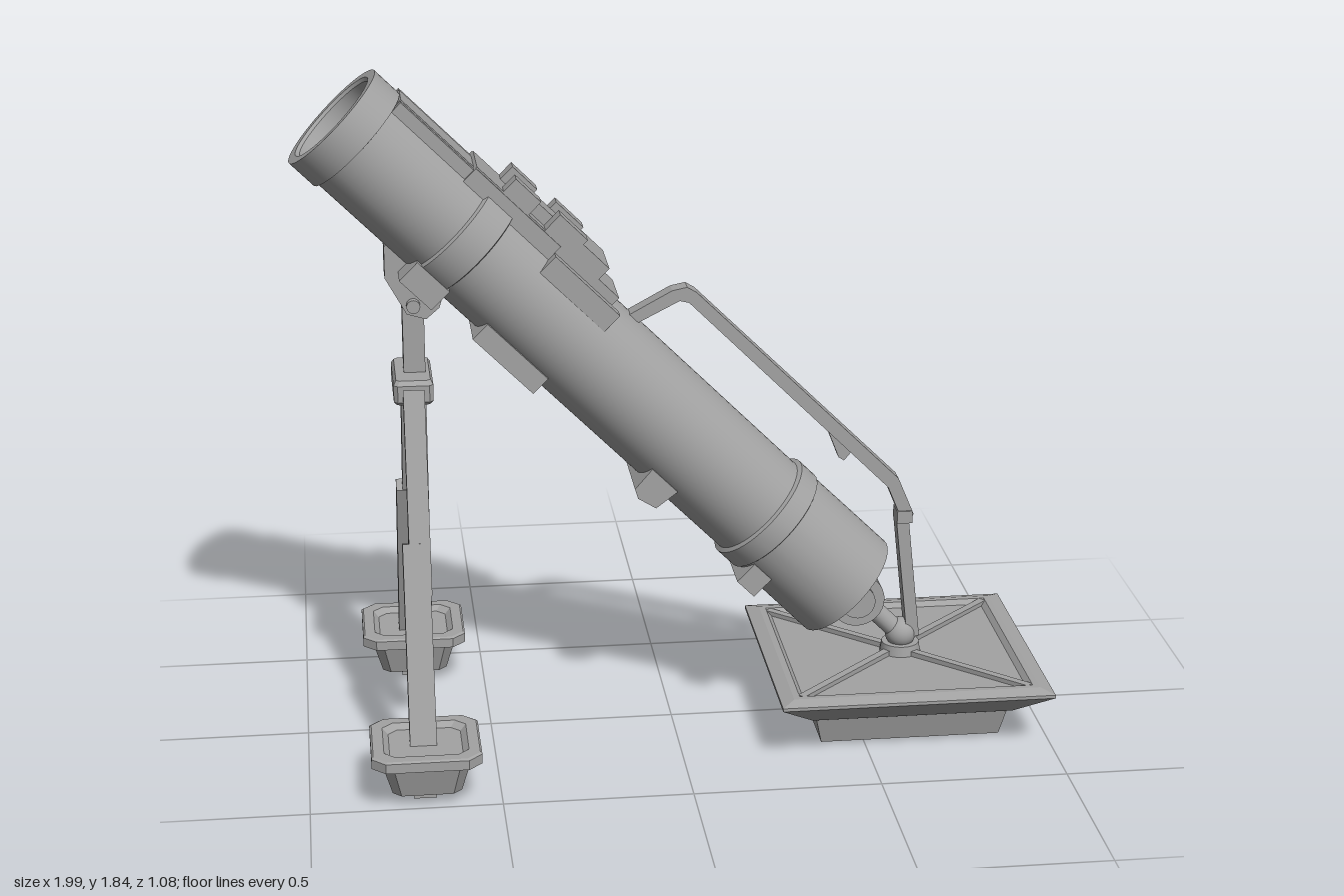
import * as THREE from 'three';
import { toCreasedNormals } from 'three/addons/utils/BufferGeometryUtils.js';

const steel = new THREE.MeshStandardMaterial({ color: 0xa3a3a3 });
steel.name = 'grey steel';

function add(parent, name, geo, x = 0, y = 0, z = 0) {
  const m = new THREE.Mesh(geo, steel);
  m.name = name;
  m.position.set(x, y, z);
  parent.add(m);
  return m;
}

// Box given by its limits
function block(parent, name, [x0, x1], [y0, y1], [z0, z1]) {
  return add(parent, name, new THREE.BoxGeometry(x1 - x0, y1 - y0, z1 - z0),
    (x0 + x1) / 2, (y0 + y1) / 2, (z0 + z1) / 2);
}

// Side outline in x/y, given a thickness centred on z
function slab(parent, name, pts, depth, z = 0) {
  const shape = new THREE.Shape(pts.map(p => new THREE.Vector2(...p)));
  const geo = new THREE.ExtrudeGeometry(shape, { depth, bevelEnabled: false });
  return add(parent, name, geo.translate(0, 0, -depth / 2), 0, 0, z);
}

// Square bar between two points
function bar(parent, name, a, b, w, t) {
  const from = new THREE.Vector3(...a), to = new THREE.Vector3(...b);
  const m = add(parent, name, new THREE.BoxGeometry(w, t, from.distanceTo(to)));
  m.position.addVectors(from, to).multiplyScalar(0.5);
  m.lookAt(to);
  return m;
}

// Stack of chamfered rectangles [y, halfX, halfZ], capped at both ends
function loft(sections, chamfer) {
  const rings = sections.map(([y, hx, hz]) => {
    const c = chamfer * hx;
    return (chamfer
      ? [[hx, c - hz], [hx, hz - c], [hx - c, hz], [c - hx, hz], [-hx, hz - c], [-hx, c - hz], [c - hx, -hz], [hx - c, -hz]]
      : [[hx, -hz], [hx, hz], [-hx, hz], [-hx, -hz]]
    ).reverse().map(([x, z]) => [x, y, z]);
  });
  const n = rings[0].length, pos = [];
  const tri = (...p) => p.forEach(q => pos.push(...q));
  for (let j = 0; j + 1 < rings.length; j++) {
    for (let i = 0; i < n; i++) {
      const k = (i + 1) % n, lo = rings[j], hi = rings[j + 1];
      tri(lo[i], lo[k], hi[k]);
      tri(lo[i], hi[k], hi[i]);
    }
  }
  const top = rings[rings.length - 1], bottom = rings[0];
  for (let i = 1; i + 1 < n; i++) {
    tri(top[0], top[i], top[i + 1]);
    tri(bottom[0], bottom[i + 1], bottom[i]);
  }
  const g = new THREE.BufferGeometry();
  g.setAttribute('position', new THREE.Float32BufferAttribute(pos, 3));
  g.computeVertexNormals();
  return g;
}

// Barrel group: local x runs from muzzle to breech, local y points up off the barrel
function buildBarrel() {
  const g = new THREE.Group();
  g.name = 'barrel';
  g.position.set(-0.877, 1.725, 0);
  g.rotation.z = -Math.PI / 4;

  const profile = [[0, 1.5], [0.128, 1.5], [0.128, 0.008], [0.136, 0], [0.162, 0], [0.162, 0.086], [0.152, 0.088],
    [0.152, 0.415], [0.165, 0.42], [0.165, 0.505], [0.152, 0.51], [0.152, 1.572], [0.165, 1.577],
    [0.165, 1.637], [0.16, 1.64], [0.162, 1.92], [0, 1.92]];
  const tube = new THREE.LatheGeometry(profile.map(p => new THREE.Vector2(...p)), 48);
  add(g, 'tube', toCreasedNormals(tube.rotateZ(-Math.PI / 2), 0.5));

  // Top rail with a groove along each side
  block(g, 'rail', [0.088, 0.66], [0.11, 0.162], [-0.055, 0.055]);
  for (const s of [-1, 1]) {
    const side = (a, b) => (s > 0 ? [a, b] : [-b, -a]);
    block(g, 'railEdge', [0.088, 0.66], [0.1, 0.16], side(0.064, 0.084));
    block(g, 'sightArmFront', [0.44, 0.53], [0.15, 0.218], side(0.04, 0.088));
    block(g, 'sightArmRear', [0.59, 0.69], [0.15, 0.228], side(0.04, 0.088));
    block(g, 'sideBracket', [0.65, 0.885], [0.085, 0.145], side(0.084, 0.125));
    block(g, 'saddleEdge', [0.345, 0.65], [0.1, 0.168], side(0.07, 0.092));
  }
  // Sight blocks
  block(g, 'saddlePlate', [0.345, 0.86], [0.13, 0.172], [-0.085, 0.085]);
  block(g, 'sightBody', [0.46, 0.72], [0.15, 0.205], [-0.042, 0.042]);
  block(g, 'sightRear', [0.69, 0.785], [0.15, 0.212], [-0.088, 0.088]);
  // Fittings under the tube
  block(g, 'lowerPlate', [0.65, 0.87], [-0.164, -0.108], [-0.118, 0.118]);
  block(g, 'clampPlate', [0.4, 0.515], [-0.178, -0.11], [-0.125, 0.125]);
  slab(g, 'lowerHook', [[1.25, -0.1], [1.255, -0.172], [1.28, -0.185], [1.335, -0.172], [1.345, -0.1]], 0.24);
  block(g, 'breechPlate', [1.645, 1.71], [-0.172, -0.105], [-0.125, 0.125]);
  return g;
}

// Ball joint between breech and base plate
function buildJoint() {
  const g = new THREE.Group();
  g.name = 'breechJoint';
  const drum = (name, r, w) => add(g, name, new THREE.CylinderGeometry(r, r, w, 32).rotateX(Math.PI / 2), 0.507, 0.342);
  drum('lugDrum', 0.075, 0.12);
  drum('lugPin', 0.047, 0.15);
  const rod = add(g, 'jointRod', new THREE.CylinderGeometry(0.027, 0.027, 0.2, 20), 0.577, 0.275);
  rod.rotation.z = Math.PI / 4;
  add(g, 'ball', new THREE.SphereGeometry(0.043, 24, 16), 0.64, 0.217);
  add(g, 'ballSeat', new THREE.CylinderGeometry(0.052, 0.058, 0.04, 24), 0.64, 0.172);
  return g;
}

function buildBasePlate() {
  const g = new THREE.Group();
  g.name = 'basePlate';
  const cx = 0.627;
  add(g, 'plate', loft([[0.005, 0.245, 0.235], [0.08, 0.262, 0.255], [0.085, 0.275, 0.268], [0.157, 0.37, 0.36],
    [0.166, 0.37, 0.36], [0.176, 0.335, 0.325], [0.176, 0.318, 0.308], [0.163, 0.305, 0.295]], 0), cx);
  // Diagonal ribs
  for (const sx of [-1, 1]) for (const sz of [-1, 1]) {
    bar(g, 'rib', [cx + 0.03 * sx, 0.168, 0.03 * sz], [cx + 0.312 * sx, 0.166, 0.302 * sz], 0.022, 0.018);
  }
  return g;
}

// Carrying handle along the top of the barrel down to the ball joint
function buildHandle() {
  const g = new THREE.Group();
  g.name = 'handle';
  slab(g, 'handleBar', [[-0.12, 1.17], [0, 1.235], [0.04, 1.243], [0.065, 1.228], [0.62, 0.68], [0.664, 0.575],
    [0.652, 0.552], [0.688, 0.215], [0.655, 0.205], [0.618, 0.55], [0.625, 0.575], [0.592, 0.655],
    [0.045, 1.2], [0.02, 1.206], [-0.11, 1.14]], 0.05);
  slab(g, 'handleCatch', [[0.42, 0.835], [0.455, 0.745], [0.47, 0.735], [0.495, 0.765]], 0.03);
  block(g, 'handleJoint', [0.618, 0.66], [0.55, 0.585], [-0.03, 0.03]);
  return g;
}

function buildBipod() {
  const g = new THREE.Group();
  g.name = 'bipod';
  const x = -0.695;
  // Head bracket and pivot
  slab(g, 'headBracket', [[-0.755, 1.385], [-0.74, 1.4], [-0.6, 1.26], [-0.615, 1.215], [-0.65, 1.185],
    [-0.7, 1.2], [-0.755, 1.3]], 0.08);
  add(g, 'pivot', new THREE.CylinderGeometry(0.018, 0.018, 0.12, 20).rotateX(Math.PI / 2), -0.683, 1.225);
  block(g, 'centrePost', [-0.712, -0.655], [0.225, 1.23], [-0.03, 0.03]);
  add(g, 'legCollar', loft([[0.97, 0.045, 0.1], [0.98, 0.052, 0.11], [1.025, 0.052, 0.11], [1.037, 0.045, 0.1]], 0.2), -0.69);

  for (const s of [-1, 1]) {
    const at = y => [x, y, s * (0.1 + (1 - y) * 0.335)];
    const shift = (p, d) => [p[0] + d, p[1], p[2]];
    bar(g, 'upperLeg', shift(at(1.01), 0.005), shift(at(0.5), 0.005), 0.056, 0.045);
    bar(g, 'lowerLeg', shift(at(0.63), -0.005), shift(at(0.13), -0.005), 0.07, 0.052);
    // Foot with a raised rim and a stub below
    add(g, 'foot', loft([[0.03, 0.09, 0.085], [0.118, 0.115, 0.11], [0.122, 0.143, 0.14], [0.148, 0.143, 0.14],
      [0.152, 0.138, 0.134], [0.152, 0.11, 0.105], [0.138, 0.095, 0.09]], 0.25), x, 0, s * 0.4);
    block(g, 'footStub', [x - 0.035, x + 0.025], [0, 0.04], [s * 0.4 - 0.04, s * 0.4 + 0.04]);
  }
  return g;
}

export function createModel() {
  const model = new THREE.Group();
  model.name = 'mortar';
  model.add(buildBarrel(), buildJoint(), buildBasePlate(), buildHandle(), buildBipod());
  return model;
}
